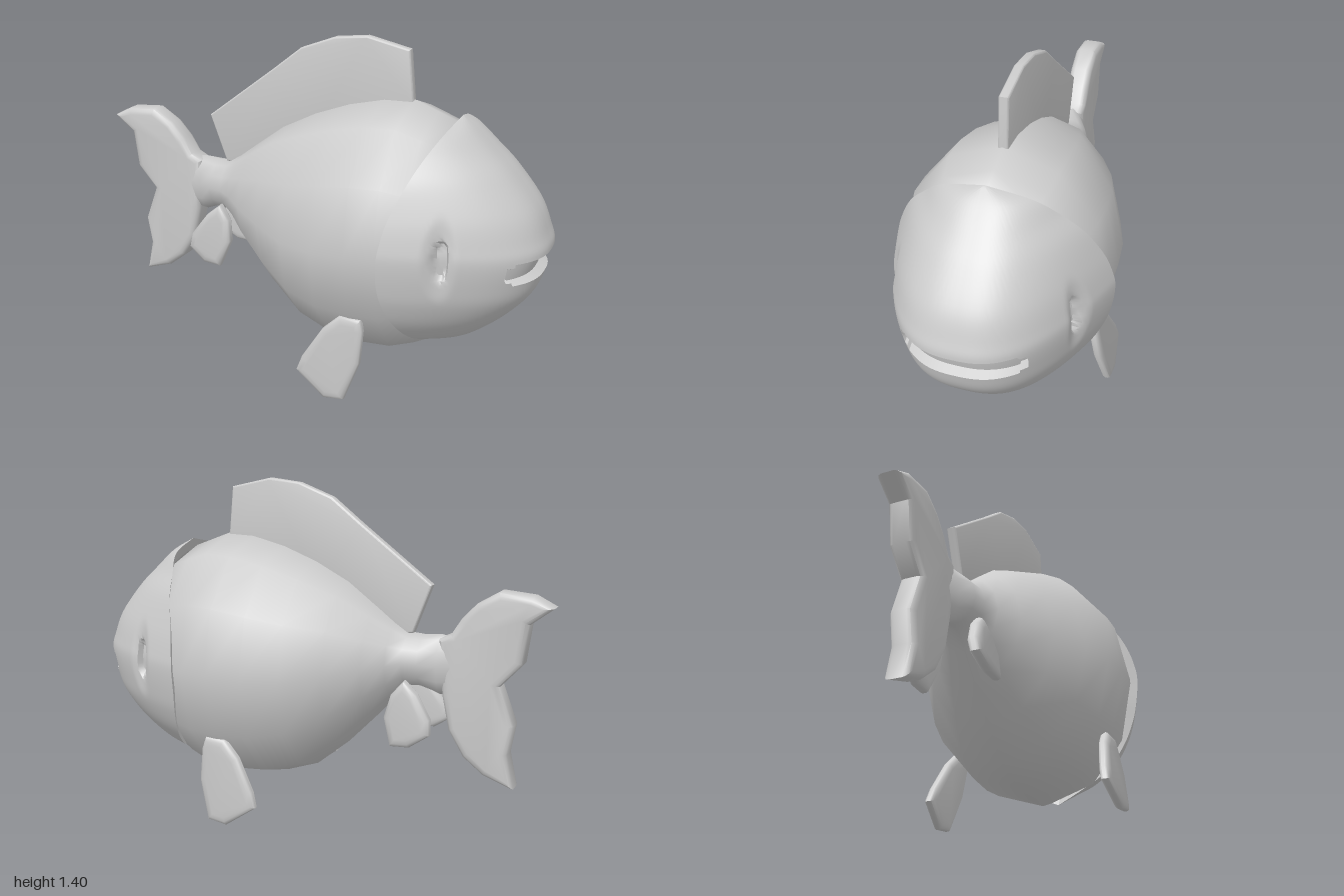
import * as THREE from 'three';
import { toCreasedNormals } from 'three/addons/utils/BufferGeometryUtils.js';

const material = new THREE.MeshStandardMaterial({ color: 0xcccccc });
const thin = new THREE.MeshStandardMaterial({ color: 0xcccccc, side: THREE.DoubleSide });

// Skin over rows of equally many points; closed joins the last column to the first.
function skin(rows, closed) {
  const n = rows[0].length, index = [];
  for (let i = 0; i < rows.length - 1; i++) {
    for (let j = 0; j < (closed ? n : n - 1); j++) {
      const k = (j + 1) % n;
      const a = i * n + j, b = a + n, c = i * n + k, d = c + n;
      index.push(a, c, b, c, d, b);
    }
  }
  const geo = new THREE.BufferGeometry();
  geo.setAttribute('position', new THREE.Float32BufferAttribute(rows.flat(2), 3));
  geo.setIndex(index);
  geo.computeVertexNormals();
  return geo;
}

// Flat fin from a side outline, with bevelled edges, centred on z = 0.
function fin(points, thickness, bevel, bevelDepth, crease) {
  const shape = new THREE.Shape(points.map(([x, y]) => new THREE.Vector2(x, y)));
  const depth = thickness - 2 * bevelDepth;
  const geo = new THREE.ExtrudeGeometry(shape, {
    depth, bevelEnabled: true, bevelSize: bevel, bevelOffset: -bevel,
    bevelThickness: bevelDepth, bevelSegments: 3,
  });
  geo.translate(0, 0, -depth / 2);
  return toCreasedNormals(geo, crease);
}

function bodyGeometry() {
  // x, centre y, half height, half width
  const sections = [
    [-0.64, 0.68, 0.11, 0.04], [-0.55, 0.68, 0.125, 0.065], [-0.48, 0.69, 0.108, 0.1],
    [-0.42, 0.69, 0.112, 0.11], [-0.36, 0.68, 0.16, 0.14], [-0.28, 0.665, 0.235, 0.205],
    [-0.15, 0.645, 0.35, 0.29], [0, 0.62, 0.45, 0.37], [0.15, 0.62, 0.505, 0.415],
    [0.3, 0.63, 0.53, 0.43], [0.42, 0.635, 0.528, 0.425], [0.52, 0.635, 0.49, 0.398],
    [0.6, 0.64, 0.455, 0.36], [0.66, 0.64, 0.36, 0.29], [0.67, 0.64, 0, 0],
  ];
  const sides = 12;
  return skin(sections.map(([x, y, h, w]) => Array.from({ length: sides }, (_, j) => {
    const a = (j / sides) * Math.PI * 2;
    return [x, y + h * Math.cos(a), w * Math.sin(a)];
  })), true);
}

function headGeometry() {
  // y, half width at the gill edge, x of the gill edge, x of the midline
  const table = [
    [1.125, 0, 0.62, 0.62], [1.08, 0.17, 0.595, 0.68], [1.0, 0.27, 0.55, 0.765],
    [0.92, 0.345, 0.515, 0.845], [0.8, 0.41, 0.47, 0.94], [0.7, 0.443, 0.45, 0.983],
    [0.635, 0.452, 0.444, 1.0], [0.54, 0.442, 0.445, 0.98], [0.45, 0.415, 0.46, 0.945],
    [0.35, 0.355, 0.49, 0.86], [0.26, 0.255, 0.53, 0.755], [0.21, 0.13, 0.58, 0.68],
    [0.16, 0, 0.61, 0.61],
  ];
  const curve = (f) => new THREE.CatmullRomCurve3(table.map(f), false, 'catmullrom');
  const edge = curve(([y, w, x]) => new THREE.Vector3(x, y, w));
  const midline = curve(([y, , , x]) => new THREE.Vector3(x, y, 0));
  const step = 6, count = (table.length - 1) * step, cols = 160;
  const smooth = THREE.MathUtils.smoothstep;
  const rows = [];
  for (let i = 0; i <= count; i++) {
    const e = edge.getPoint(i / count), m = midline.getPoint(i / count);
    const w = Math.max(e.z, 0), row = [];
    // Mouth slot rows, narrower next to the lips
    const inSlot = Math.min(i - 6 * step, 7 * step - i);
    const mouthHalf = inSlot > 1 ? 0.53 : inSlot === 1 ? 0.48 : -1;
    for (let j = 0; j <= cols; j++) {
      const u = Math.sin((j / cols - 0.5) * Math.PI);
      let x = e.x + (m.x - e.x) * (1 - Math.abs(u) ** 2.6);
      let z = w * u;
      if (Math.abs(u) < mouthHalf) x -= 0.04;
      // Sunken oval eye in a shallow hollow
      const d = Math.hypot((x - 0.66) / 0.03, (e.y - 0.65) / 0.08);
      const dent = 0.03 * (1 - smooth(d, 0.75, 1.1)) + 0.014 * (1 - smooth(d, 0.9, 2.2));
      z -= Math.sign(u) * Math.min(dent, Math.abs(z));
      row.push([x, e.y, z]);
    }
    // Gill edge turned inward to meet the body
    const inner = (s) => [e.x + 0.03, 0.63 + (e.y - 0.63) * 0.88, s * w * 0.88];
    rows.push([inner(-1), ...row, inner(1)]);
  }
  return toCreasedNormals(skin(rows, false), 0.7);
}

const tailOutline = [
  [-0.55, 0.79], [-0.6, 0.815], [-0.64, 0.88], [-0.7, 0.945], [-0.79, 1.0], [-0.92, 0.99],
  [-1.0, 0.95], [-0.91, 0.88], [-0.89, 0.72], [-0.805, 0.625], [-0.865, 0.47], [-0.845, 0.35],
  [-0.875, 0.21], [-0.75, 0.25], [-0.665, 0.315], [-0.6, 0.42], [-0.57, 0.56],
];
const dorsalOutline = [
  [-0.33, 0.78], [-0.435, 0.8], [-0.51, 1.0], [-0.2, 1.23], [-0.07, 1.33], [0.08, 1.385],
  [0.22, 1.4], [0.4, 1.36], [0.42, 1.16], [0.42, 1.08], [0, 0.98],
];
const pectoralOutline = [
  [0.26, 0.345], [0.35, 0.345], [0.362, 0.3], [0.36, 0.17], [0.305, 0.01], [0.22, 0.0],
  [0.09, 0.09], [0.11, 0.15], [0.19, 0.28],
];
const pelvicOutline = [
  [-0.43, 0.62], [-0.38, 0.56], [-0.36, 0.47], [-0.4, 0.36], [-0.48, 0.365], [-0.56, 0.42],
  [-0.555, 0.48], [-0.49, 0.57],
];

export function createModel() {
  const model = new THREE.Group();
  model.name = 'fish';
  const add = (name, geo, mat = material) => {
    const mesh = new THREE.Mesh(geo, mat);
    mesh.name = name;
    model.add(mesh);
  };

  add('body', bodyGeometry());
  add('head', headGeometry(), thin);
  add('tailFin', fin(tailOutline, 0.1, 0.03, 0.025, 0.7));
  add('dorsalFin', fin(dorsalOutline, 0.04, 0.008, 0.008, 0.6));

  // Paired fins splay outward as they go down
  for (const [side, s] of [['left', 1], ['right', -1]]) {
    const splay = (geo, top, z, slope) => {
      const p = geo.attributes.position;
      for (let i = 0; i < p.count; i++) {
        p.setZ(i, p.getZ(i) + s * (z + slope * (top - p.getY(i))));
      }
      return geo;
    };
    // Names follow the +z and -z flanks
    add(side + 'PectoralFin', splay(fin(pectoralOutline, 0.045, 0.03, 0.016, 0.9), 0.345, 0.345, 0.19));
    add(side + 'PelvicFin', splay(fin(pelvicOutline, 0.055, 0.03, 0.02, 0.9), 0.62, 0.085, 0.26));
  }
  return model;
}
